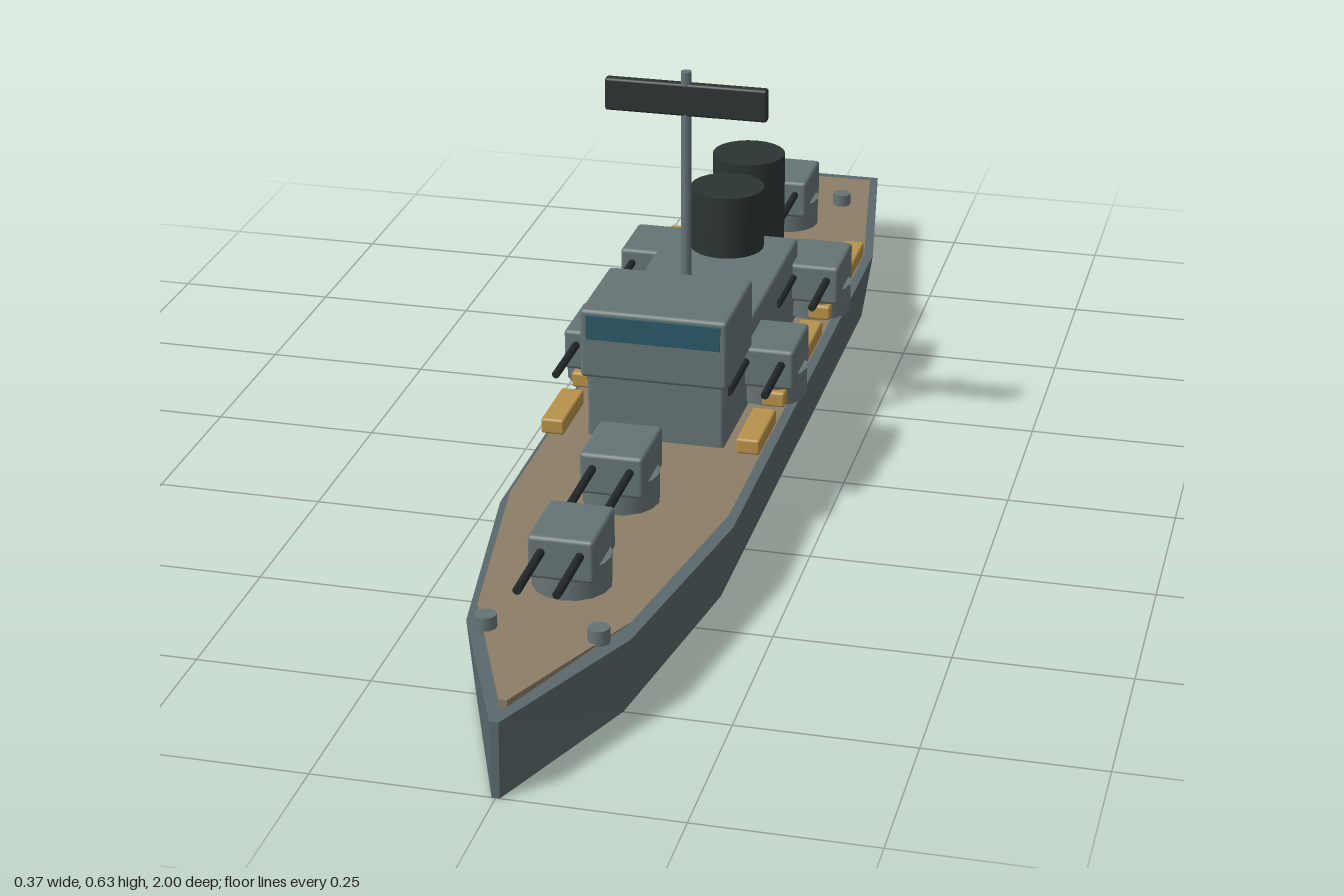
import * as THREE from 'three';
import { RoundedBoxGeometry } from 'three/addons/geometries/RoundedBoxGeometry.js';

const mat = (name, color) => {
  const m = new THREE.MeshStandardMaterial({ color });
  m.name = name;
  return m;
};

export function createModel() {
  const hullGrey = mat('hullGrey', 0x5a686c);
  const upperGrey = mat('upperGrey', 0x667476);
  const deckWood = mat('deckWood', 0x8c7d66);
  const boatTan = mat('boatTan', 0xb8924a);
  const funnelDark = mat('funnelDark', 0x2b3433);
  const gunDark = mat('gunDark', 0x22282a);
  const glass = mat('glass', 0x2c5a68);

  const ship = new THREE.Group();
  ship.name = 'warship';

  const add = (parent, name, geometry, material, x = 0, y = 0, z = 0) => {
    const mesh = new THREE.Mesh(geometry, material);
    mesh.name = name;
    mesh.position.set(x, y, z);
    parent.add(mesh);
    return mesh;
  };
  const box = (w, h, d, r = 0.006) => new RoundedBoxGeometry(w, h, d, 2, r);

  // Half outline from stern to bow as [half width, z]
  const outline = [[0.11, -1], [0.17, -0.64], [0.17, 0.4], [0.113, 0.75], [0.006, 1]];

  // Plan outline extruded upward, narrowing toward its underside
  const slab = (sx, sz, height, flare) => {
    const half = outline.map(([x, z]) => [x * sx, -z * sz]);
    const loop = [...half, ...half.map(([x, y]) => [-x, y]).reverse()];
    const shape = new THREE.Shape(loop.map(([x, y]) => new THREE.Vector2(x, y)));
    const g = new THREE.ExtrudeGeometry(shape, { depth: height, bevelEnabled: false });
    g.rotateX(-Math.PI / 2);
    const p = g.attributes.position;
    for (let i = 0; i < p.count; i++) {
      if (p.getY(i) < height / 2) p.setX(i, p.getX(i) * flare);
    }
    g.computeVertexNormals();
    return g;
  };
  add(ship, 'hull', slab(1, 1, 0.11, 0.9), hullGrey);
  add(ship, 'deck', slab(0.94, 0.96, 0.01, 0.9), deckWood, 0, 0.11, 0);

  // Superstructure and bridge
  add(ship, 'superstructure', box(0.206, 0.135, 0.52), upperGrey, 0, 0.182, -0.088);
  add(ship, 'bridge', box(0.22, 0.107, 0.17), upperGrey, 0, 0.271, 0.099);
  add(ship, 'bridgeWindow', new THREE.BoxGeometry(0.2, 0.037, 0.008), glass, 0, 0.298, 0.183);

  // Mast and radar
  add(ship, 'mast', new THREE.CylinderGeometry(0.008, 0.008, 0.385, 12), upperGrey, 0, 0.4375, -0.02);
  add(ship, 'radarBar', box(0.245, 0.05, 0.016, 0.004), funnelDark, 0, 0.587, -0.02);

  // Funnels
  for (const z of [-0.292, -0.445]) {
    add(ship, 'funnel', new THREE.CylinderGeometry(0.058, 0.058, 0.15, 24), funnelDark, 0, 0.274, z);
  }

  // Twin gun turrets, all facing the bow
  const baseGeo = new THREE.CylinderGeometry(0.055, 0.055, 0.045, 16);
  const houseGeo = box(0.092, 0.063, 0.115);
  const barrelGeo = new THREE.CylinderGeometry(0.006, 0.006, 0.13, 10).rotateX(Math.PI / 2);
  const turret = (name, x, y, z) => {
    const t = new THREE.Group();
    t.name = name;
    t.position.set(x, y, z);
    add(t, 'turretBase', baseGeo, upperGrey, 0, 0.0225, 0);
    add(t, 'turretHouse', houseGeo, upperGrey, 0, 0.061, 0);
    for (const s of [-1, 1]) add(t, 'gunBarrel', barrelGeo, gunDark, s * 0.027, 0.07, 0.105);
    ship.add(t);
  };
  for (const z of [0.63, 0.367, -0.738]) turret('mainTurret', 0, 0.12, z);

  for (const s of [-1, 1]) {
    for (const z of [-0.024, -0.361]) turret('sideTurret', s * 0.131, 0.129, z);

    // Lifeboats along the rail
    for (let i = 0; i < 5; i++) {
      add(ship, 'lifeboat', box(0.035, 0.024, 0.115, 0.004), boatTan, s * 0.147, 0.143, 0.15 - i * 0.17);
    }

    // Bollards fore and aft
    for (const z of [0.778, -0.838]) {
      add(ship, 'bollard', new THREE.CylinderGeometry(0.015, 0.015, 0.022, 10), upperGrey, s * 0.077, 0.128, z);
    }
  }
  return ship;
}
